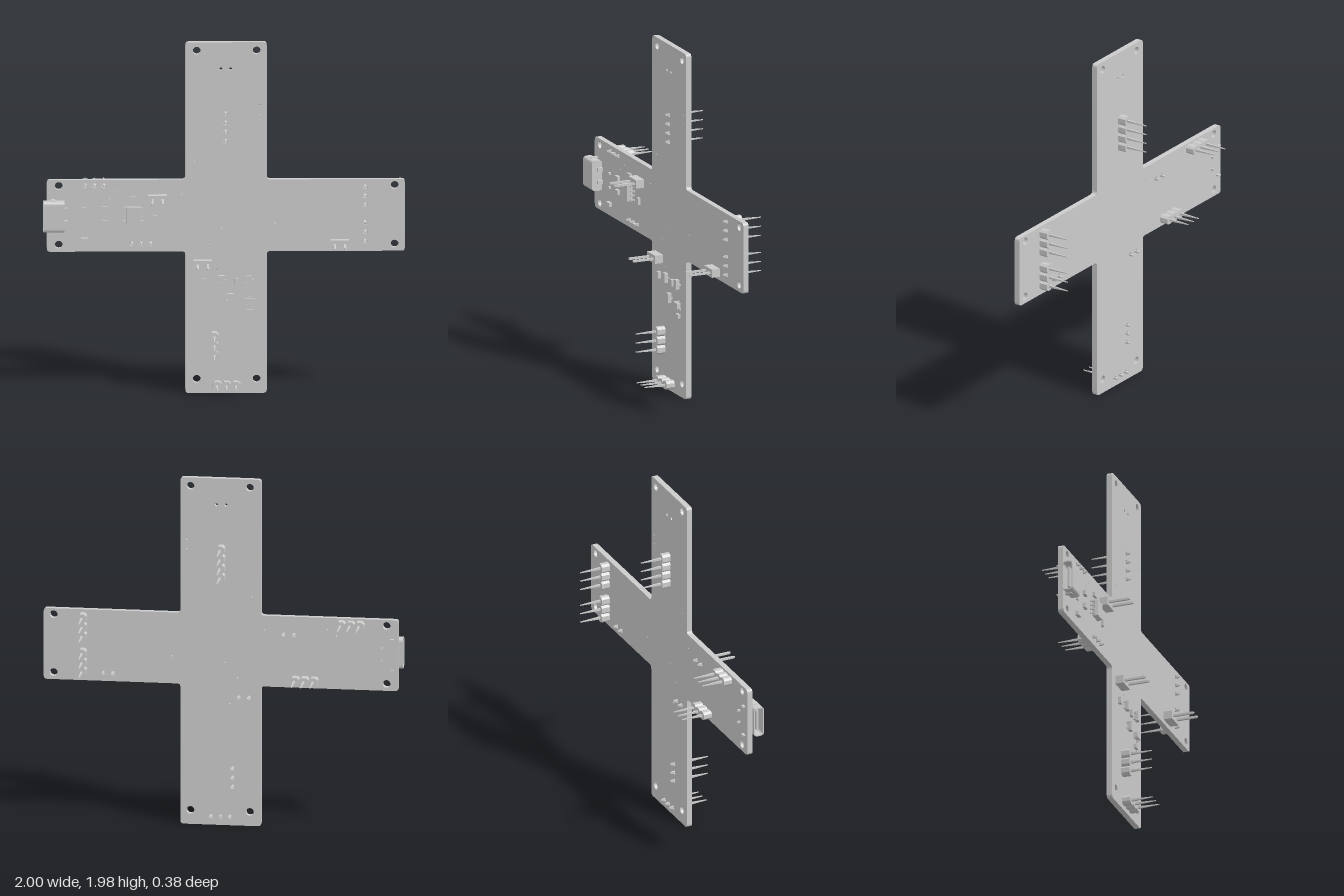
import * as THREE from 'three';

const T = 0.016; // half thickness of the board
const mat = new THREE.MeshStandardMaterial({ color: 0xcccccc, flatShading: true });

function add(parent, geo, name, x = 0, y = 0, z = 0) {
  const m = new THREE.Mesh(geo, mat);
  m.name = name;
  m.position.set(x, y, z);
  parent.add(m);
  return m;
}
const box = (parent, name, w, h, d, x, y, z) =>
  add(parent, new THREE.BoxGeometry(w, h, d), name, x, y, z);

// Closed outline with every corner rounded
function roundedShape(pts, r) {
  const s = new THREE.Shape();
  const v = pts.map((p) => new THREE.Vector2(...p));
  v.forEach((p, i) => {
    const a = v[(i + v.length - 1) % v.length], b = v[(i + 1) % v.length];
    const p0 = p.clone().add(a.clone().sub(p).setLength(r));
    const p1 = p.clone().add(b.clone().sub(p).setLength(r));
    if (i) s.lineTo(p0.x, p0.y); else s.moveTo(p0.x, p0.y);
    s.quadraticCurveTo(p.x, p.y, p1.x, p1.y);
  });
  s.closePath();
  return s;
}
const rect = (w, h) => [[-w / 2, -h / 2], [w / 2, -h / 2], [w / 2, h / 2], [-w / 2, h / 2]];

// Pin headers: first pin, step between pins, count, side (+1 front, -1 back)
const P = 0.052;
const headers = [
  { x: 0.008, y: 1.422, dy: P, n: 4, side: -1 },
  { x: 0.778, y: 1.059, dy: P, n: 3, side: -1 },
  { x: 0.778, y: 0.857, dy: P, n: 3, side: -1 },
  { x: -0.767, y: 1.173, dx: P, n: 3, side: -1 },
  { x: -0.51, y: 0.845, dx: P, n: 3, side: -1 },
  { x: -0.056, y: 0.22, dy: P, n: 3, side: 1 },
  { x: -0.041, y: 0.048, dx: P, n: 3, side: 1 },
  { x: -0.398, y: 1.1, dx: 0.057, n: 2, side: 1, plain: true },
  { x: 0.609, y: 0.845, dx: 0.057, n: 2, side: 1, plain: true },
  { x: -0.148, y: 0.732, dx: 0.057, n: 2, side: 1, plain: true },
];

function board(g) {
  const L = -0.98, R = 0.997, l = -0.215, r = 0.235, b = 0.8, t = 1.205, top = 1.98;
  const s = roundedShape([[l, 0], [r, 0], [r, b], [R, b], [R, t], [r, t],
    [r, top], [l, top], [l, t], [L, t], [L, b], [l, b]], 0.02);
  const hole = (x, y, rad) => s.holes.push(new THREE.Path().absarc(x, y, rad, 0, Math.PI * 2, true));
  // mounting holes
  for (const x of [-0.152, 0.179]) for (const y of [0.08, 1.933]) hole(x, y, 0.022);
  for (const x of [-0.914, 0.941]) for (const y of [0.84, 1.171]) hole(x, y, 0.022);
  // wire holes and vias
  for (const x of [-0.019, 0.035]) hole(x, 1.829, 0.009);
  for (const [x, y] of [[0.2, 1.626], [0.2, 1.572], [-0.163, 1.31], [0.281, 0.957], [-0.013, 0.93],
    [-0.083, 0.845], [-0.233, 1.123], [-0.586, 1.139], [-0.634, 1.102], [-0.04, 0.695]]) hole(x, y, 0.004);
  // pin holes
  for (const h of headers) for (let i = 0; i < h.n; i++) {
    hole(h.x + (h.dx || 0) * i, h.y + (h.dy || 0) * i, 0.013);
  }
  add(g, new THREE.ExtrudeGeometry(s, { depth: 2 * T, bevelEnabled: false, curveSegments: 6 }),
    'circuitBoard', 0, 0, -T);
}

// Header built along its own x axis with pins on +z
function header(g, { x, y, dx = 0, dy = 0, n, side, plain }) {
  const h = new THREE.Group();
  h.name = 'pinHeader';
  const step = dx || dy, c = step / 2, w = 0.0235, k = 0.012;
  const pts = [];
  if (plain) {
    pts.push([-0.023, -w], [step + 0.023, -w], [step + 0.023, w], [-0.023, w]);
  } else {
    // notched outline, one octagon per pin
    const lower = [], upper = [];
    for (let i = 0; i < n; i++) {
      const m = i * step;
      lower.push([m - c, -w + k], [m - c + k, -w], [m + c - k, -w], [m + c, -w + k]);
      upper.unshift([m + c, w - k], [m + c - k, w], [m - c + k, w], [m - c, w - k]);
    }
    const all = [...lower, ...upper];
    pts.push(...all.filter((p, i) => !i || Math.hypot(p[0] - all[i - 1][0], p[1] - all[i - 1][1]) > 1e-6));
  }
  const shape = new THREE.Shape(pts.map((p) => new THREE.Vector2(...p)));
  add(h, new THREE.ExtrudeGeometry(shape, { depth: 0.049, bevelEnabled: false }), 'headerBody', 0, 0, T + 0.002);
  // square pins with tapered ends
  const q = 0.0085, tip = plain ? 0.006 : 0.003;
  const prof = [[0.0001, -0.04], [0.004, -0.04], [q, -0.028], [q, plain ? 0.178 : 0.08], [tip, 0.19], [0.0001, 0.19]];
  const pin = new THREE.LatheGeometry(prof.map((p) => new THREE.Vector2(...p)), 4);
  pin.rotateY(Math.PI / 4).rotateX(Math.PI / 2);
  for (let i = 0; i < n; i++) add(h, pin, 'pin', i * step);
  const f = new THREE.Group();
  f.name = side > 0 ? 'frontHeader' : 'backHeader';
  if (side < 0) h.rotation.x = Math.PI;
  f.add(h);
  if (dy) f.rotation.z = Math.PI / 2;
  f.position.set(x, y, 0);
  g.add(f);
}

function socket(g) {
  const s = new THREE.Group();
  s.name = 'cableSocket';
  s.position.set(-1, 1.005, 0.047);
  // hollow shell, open toward -x
  const shell = roundedShape(rect(0.062, 0.175), 0.022);
  shell.holes.push(roundedShape(rect(0.05, 0.163), 0.018));
  const tube = (shape, depth) => new THREE.ExtrudeGeometry(shape, { depth, bevelEnabled: false, curveSegments: 6 })
    .rotateY(Math.PI / 2);
  add(s, tube(shell, 0.118), 'socketShell');
  add(s, tube(roundedShape(rect(0.05, 0.163), 0.018), 0.02), 'socketBack', 0.096);
  box(s, 'socketTongue', 0.08, 0.12, 0.012, 0.058, 0, 0);
  // solder tabs through the board
  for (const k of [-1, 1]) {
    box(s, 'shellTab', 0.022, 0.008, 0.09, 0.055, k * 0.088, -0.035);
    box(s, 'rearTab', 0.01, 0.01, 0.08, 0.112, k * 0.036, -0.04);
    box(s, 'rearFoot', 0.022, 0.02, 0.03, 0.123, k * 0.036, -0.015);
  }
  g.add(s);
}

function chip(g) {
  const c = new THREE.Group();
  c.name = 'chip';
  c.position.set(-0.502, 1.01, T);
  const body = new THREE.BoxGeometry(0.076, 0.098, 0.032, 1, 1, 2);
  const p = body.attributes.position;
  // draft the top and bottom faces inward
  for (let i = 0; i < p.count; i++) if (Math.abs(p.getZ(i)) > 0.01) p.setXY(i, p.getX(i) * 0.92, p.getY(i) * 0.94);
  add(c, body, 'chipBody', 0, 0, 0.021);
  const d = 0.0175;
  for (const k of [-1, 1]) for (let i = 0; i < 4; i++) {
    const y = (i - 1.5) * 0.025;
    box(c, 'chipLegTop', 0.012, 0.009, 0.005, k * 0.042, y, 0.02);
    box(c, 'chipLeg', 0.005, 0.009, 0.02, k * 0.047, y, 0.012);
    box(c, 'chipFoot', 0.012, 0.009, 0.005, k * 0.052, y, 0.0025);
  }
  g.add(c);
}

// Small three-legged part
function transistor(g, x, y, turn) {
  const t = new THREE.Group();
  t.name = 'transistor';
  t.position.set(x, y, T);
  t.rotation.z = turn;
  box(t, 'transistorBody', 0.029, 0.054, 0.022, 0, 0, 0.014);
  for (const [k, ly] of [[1, 0], [-1, -0.018], [-1, 0.018]]) {
    box(t, 'transistorLeg', 0.008, 0.009, 0.014, k * 0.017, ly, 0.008);
    box(t, 'transistorFoot', 0.009, 0.009, 0.004, k * 0.022, ly, 0.002);
  }
  g.add(t);
}

export function createModel() {
  const g = new THREE.Group();
  g.name = 'crossBoard';
  board(g);
  headers.forEach((h) => header(g, h));
  socket(g);
  chip(g);
  transistor(g, -0.013, 0.64, 0);
  transistor(g, 0.139, 0.64, 0);
  transistor(g, 0.035, 0.537, 0);
  transistor(g, 0.142, 0.523, Math.PI / 2);
  // chip resistors and capacitors: x, y, width, height, thickness
  for (const [x, y, w, h, d] of [
    [-0.772, 1.043, 0.02, 0.012, 0.012], [-0.772, 0.963, 0.02, 0.012, 0.012],
    [-0.66, 1.045, 0.038, 0.026, 0.018], [-0.66, 0.966, 0.038, 0.026, 0.018],
    [-0.77, 0.869, 0.042, 0.022, 0.02], [-0.505, 1.101, 0.038, 0.022, 0.015],
    [-0.382, 0.984, 0.022, 0.038, 0.015], [-0.112, 0.631, 0.024, 0.038, 0.018],
    [0.067, 0.631, 0.024, 0.038, 0.018], [0.142, 0.459, 0.038, 0.022, 0.015],
  ]) box(g, 'chipComponent', w, h, d, x, y, T + d / 2);
  return g;
}
